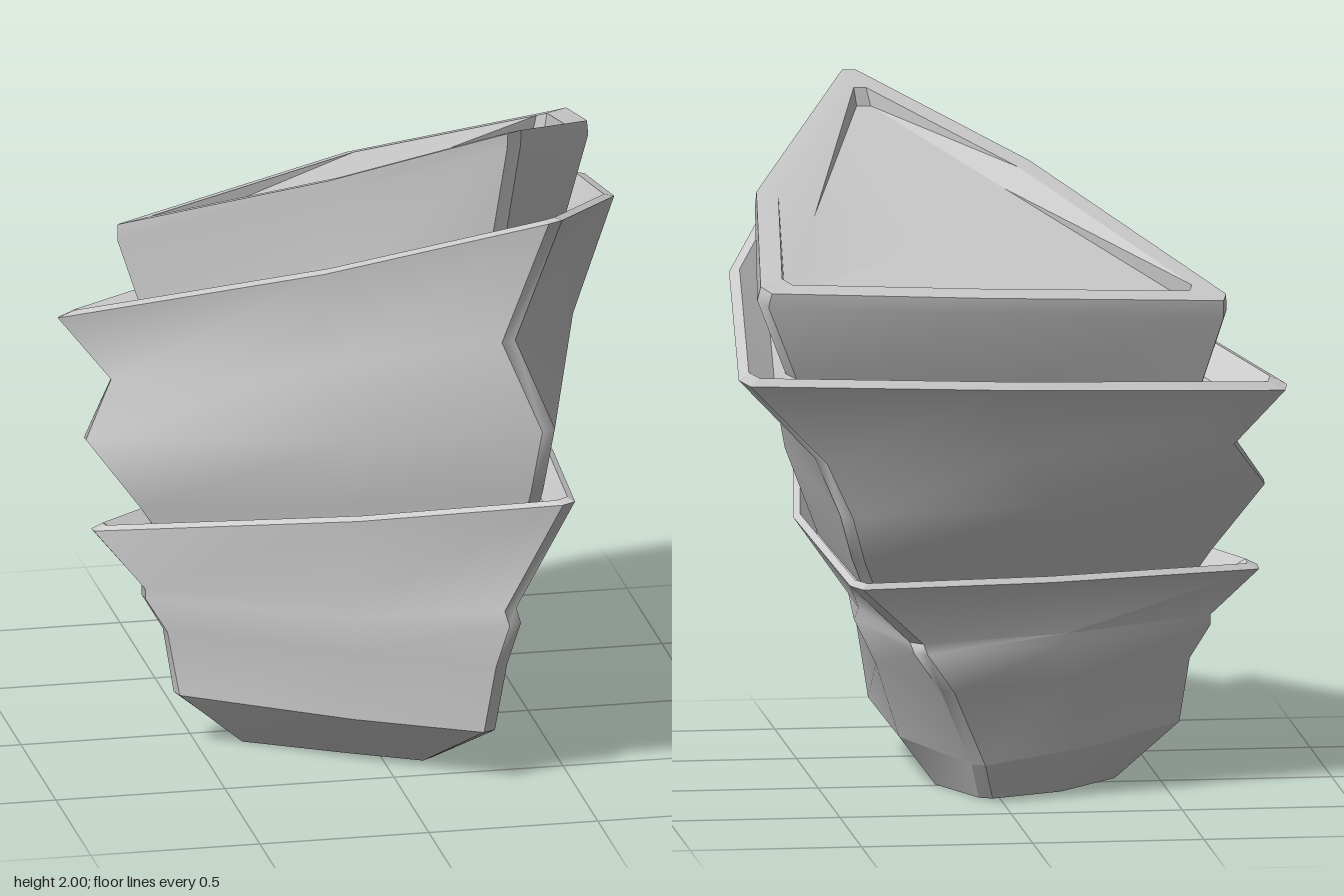
import * as THREE from 'three';
import { toCreasedNormals, mergeGeometries } from 'three/addons/utils/BufferGeometryUtils.js';

const V = (p) => new THREE.Vector3(...p);

// Cross-section: three clipped corners (left, front, back) joined by sides that bow outwards.
// bow gives the outward bend of the front, right and back side relative to its length.
function ring(corners, bow, clip = 0.022) {
  const c = corners.map(V);
  const bend = [0.58, 0.56, 0.45]; // where each side bends
  const points = [];
  c.forEach((p, i) => {
    const next = c[(i + 1) % 3], prev = c[(i + 2) % 3];
    const across = next.clone().sub(prev).normalize().multiplyScalar(clip);
    points.push(p.clone().sub(across), p.clone().add(across));
    const side = next.clone().sub(p);
    points.push(p.clone().addScaledVector(side, bend[i])
      .add(new THREE.Vector3(-side.z, 0, side.x).multiplyScalar(bow[i])));
  });
  return points;
}

const rings = (rows) => rows.map(([left, front, back, bow]) => ring([left, front, back], bow));

// Shrinks a ring within its own tilted plane, then lowers it; k = 0 closes it to a point.
function inset(r, k, drop = 0) {
  const m = r.reduce((s, p) => s.add(p), new THREE.Vector3()).divideScalar(r.length);
  return r.map((p) => {
    const q = p.clone().sub(m).multiplyScalar(k).add(m);
    q.y -= drop;
    return q;
  });
}

// Skins a stack of rings from the bottom up. Sides and corner strips are shaded separately.
function loft(name, stack, crease, material) {
  const n = stack[0].length;
  const panel = (columns) => {
    const pos = [];
    const tri = (...ps) => ps.forEach((p) => pos.push(p.x, p.y, p.z));
    for (const i of columns) {
      const j = (i + 1) % n;
      for (let k = 0; k < stack.length - 1; k++) {
        const a = stack[k], b = stack[k + 1];
        tri(a[i], a[j], b[j]);
        tri(a[i], b[j], b[i]);
      }
    }
    const geo = new THREE.BufferGeometry();
    geo.setAttribute('position', new THREE.Float32BufferAttribute(pos, 3));
    return toCreasedNormals(geo, crease);
  };
  const panels = [0, 3, 6].flatMap((i) => [panel([i]), panel([i + 1, i + 2])]);
  const mesh = new THREE.Mesh(mergeGeometries(panels), material);
  mesh.name = name;
  return mesh;
}

export function createModel() {
  const group = new THREE.Group();
  group.name = 'rockColumn';
  const stone = new THREE.MeshStandardMaterial({ color: 0xcccccc });
  const add = (name, stack, crease) => group.add(loft(name, stack, crease, stone));

  // Raised lip and sunken ledge that close the top of a tier
  const addLedge = (name, rim, lip, inner, drop) => {
    const floor = inset(rim, inner, drop);
    add(name, [rim, inset(rim, lip, -0.012), floor, inset(floor, 0)], 0.3);
  };

  // Each row gives the left, front and back corner of one cross-section, then its bows.
  const lower = rings([
    [[-0.37, 0, 0.08], [0.13, 0, 0.36], [0.04, 0, -0.23], [0.04, 0.13, 0.14]],
    [[-0.56, 0.16, 0.1], [0.26, 0.16, 0.61], [0.07, 0.11, -0.3], [0.04, 0.11, 0.1]],
    [[-0.59, 0.35, 0.08], [0.29, 0.37, 0.64], [0.17, 0.34, -0.38], [0.04, 0.1, 0.09]],
    [[-0.65, 0.45, 0.06], [0.32, 0.51, 0.69], [0.26, 0.47, -0.48], [0.04, 0.09, 0.08]],
    [[-0.65, 0.48, 0.06], [0.31, 0.55, 0.67], [0.27, 0.5, -0.46], [0.04, 0.08, 0.08]],
    [[-0.78, 0.63, -0.04], [0.45, 0.92, 0.83], [0.47, 0.7, -0.65], [0.045, 0.075, 0.06]],
  ]);
  add('foot', [inset(lower[0], 0), lower[0], lower[1]], 0.5);
  add('lowerTier', lower.slice(1), 1.3);
  addLedge('lowerLedge', lower[5], 0.96, 0.86, 0.05);

  const middle = rings([
    [[-0.58, 0.6, -0.03], [0.36, 0.8, 0.67], [0.4, 0.64, -0.46], [0.05, 0.09, 0.08]],
    [[-0.64, 0.69, -0.05], [0.38, 0.92, 0.71], [0.45, 0.76, -0.53], [0.05, 0.09, 0.08]],
    [[-0.79, 0.89, -0.1], [0.4, 1.13, 0.78], [0.5, 0.91, -0.66], [0.05, 0.1, 0.06]],
    [[-0.69, 1.03, -0.21], [0.3, 1.38, 0.69], [0.57, 1.07, -0.62], [0.09, 0.14, 0.08]],
    [[-0.83, 1.2, -0.29], [0.41, 1.785, 0.83], [0.82, 1.34, -0.83], [0.075, 0.078, 0.056]],
  ]);
  add('middleTier', middle, 1.3);
  addLedge('middleLedge', middle[4], 0.95, 0.82, 0.06);

  const upper = rings([
    [[-0.58, 1.2, -0.28], [0.29, 1.62, 0.57], [0.64, 1.28, -0.59], [0.12, 0.1, 0.062]],
    [[-0.65, 1.42, -0.3], [0.33, 1.95, 0.62], [0.75, 1.55, -0.7], [0.08, 0.098, 0.062]],
    [[-0.65, 1.47, -0.3], [0.33, 2.0, 0.63], [0.74, 1.59, -0.7], [0.08, 0.098, 0.062]],
  ]);
  add('upperTier', upper, 1.3);

  // Flat top rim around a shallow, straight-sided hollow
  const hollow = ring([[-0.55, 1.44, -0.27], [0.3, 1.91, 0.53], [0.66, 1.54, -0.63]], [0.02, 0.02, 0]);
  add('topHollow', [upper[2], inset(upper[2], 0.88), hollow, inset(hollow, 0)], 0.3);

  return group;
}
